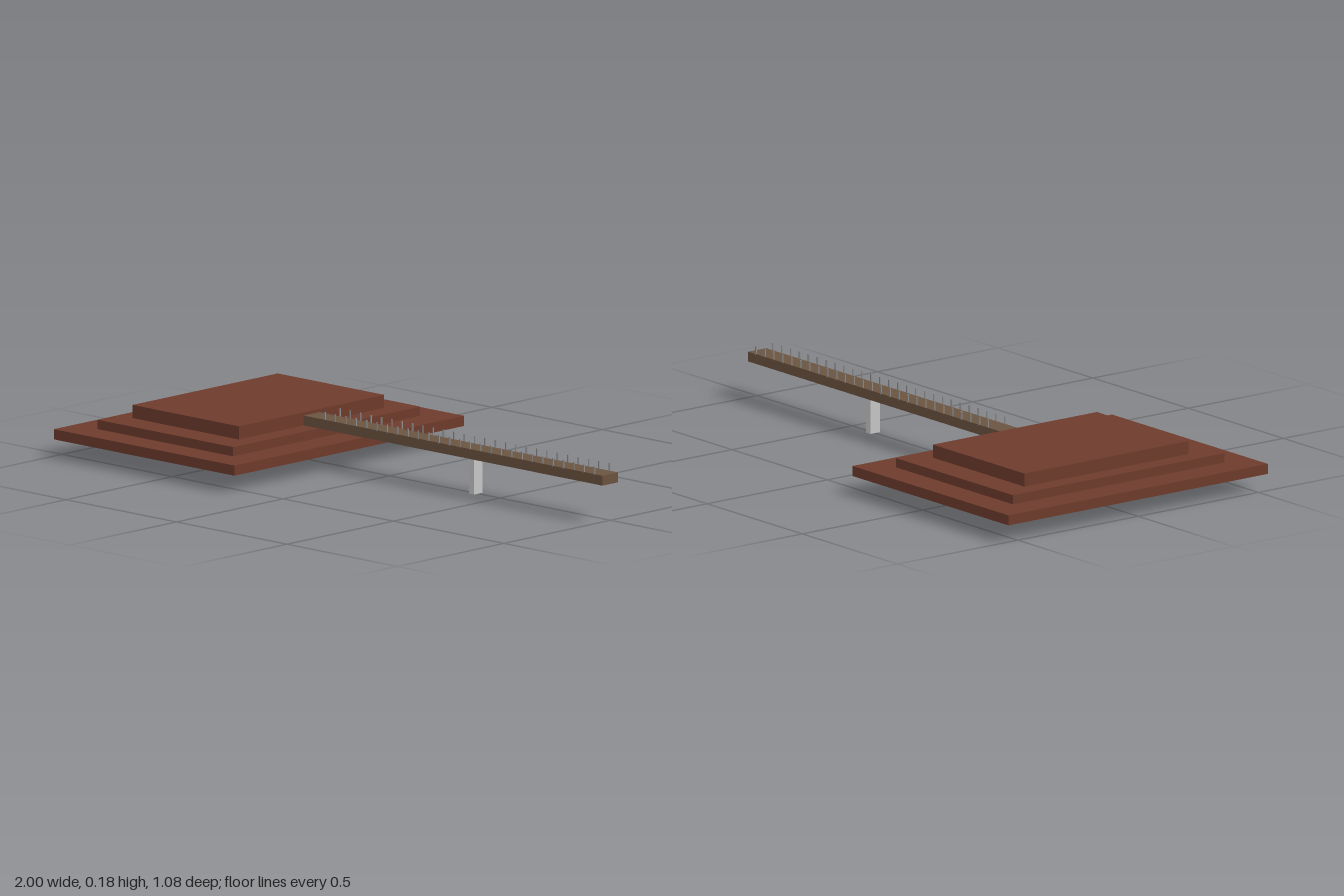
import * as THREE from 'three';

export function createModel() {
  const model = new THREE.Group();
  const brick = new THREE.MeshStandardMaterial({ name: 'red brown', color: 0x6e3b2c });
  const wood = new THREE.MeshStandardMaterial({ name: 'weathered wood', color: 0x6b5340 });
  const concrete = new THREE.MeshStandardMaterial({ name: 'light grey', color: 0xc8c8c8 });
  const metal = new THREE.MeshStandardMaterial({ name: 'post grey', color: 0x8c8c8c });

  // Box given by its extents along x, y and z
  function block(name, material, [x0, x1], [y0, y1], [z0, z1], parent = model) {
    const mesh = new THREE.Mesh(new THREE.BoxGeometry(x1 - x0, y1 - y0, z1 - z0), material);
    mesh.position.set((x0 + x1) / 2, (y0 + y1) / 2, (z0 + z1) / 2);
    mesh.name = name;
    parent.add(mesh);
  }

  // Stepped platform
  block('lowerStep', brick, [-1, -0.182], [0.056, 0.09], [-0.539, 0.539]);
  block('middleStep', brick, [-0.898, -0.284], [0.09, 0.121], [-0.439, 0.439]);
  block('upperStep', brick, [-0.834, -0.353], [0.121, 0.165], [-0.341, 0.341]);

  // Walkway and its single support
  block('walkway', wood, [-0.353, 1], [0.121, 0.154], [-0.037, 0.037]);
  block('supportPillar', concrete, [0.38, 0.402], [0, 0.121], [-0.02, 0.02]);

  // Railing posts along both edges
  const posts = new THREE.Group();
  posts.name = 'railingPosts';
  model.add(posts);
  const count = 27;
  for (let i = 0; i < count; i++) {
    const x = -0.258 + (i * 1.22) / (count - 1);
    for (const z of [-0.035, 0.035]) {
      block('railingPost', metal, [x - 0.002, x + 0.002], [0.15, 0.18], [z - 0.002, z + 0.002], posts);
    }
  }
  return model;
}
